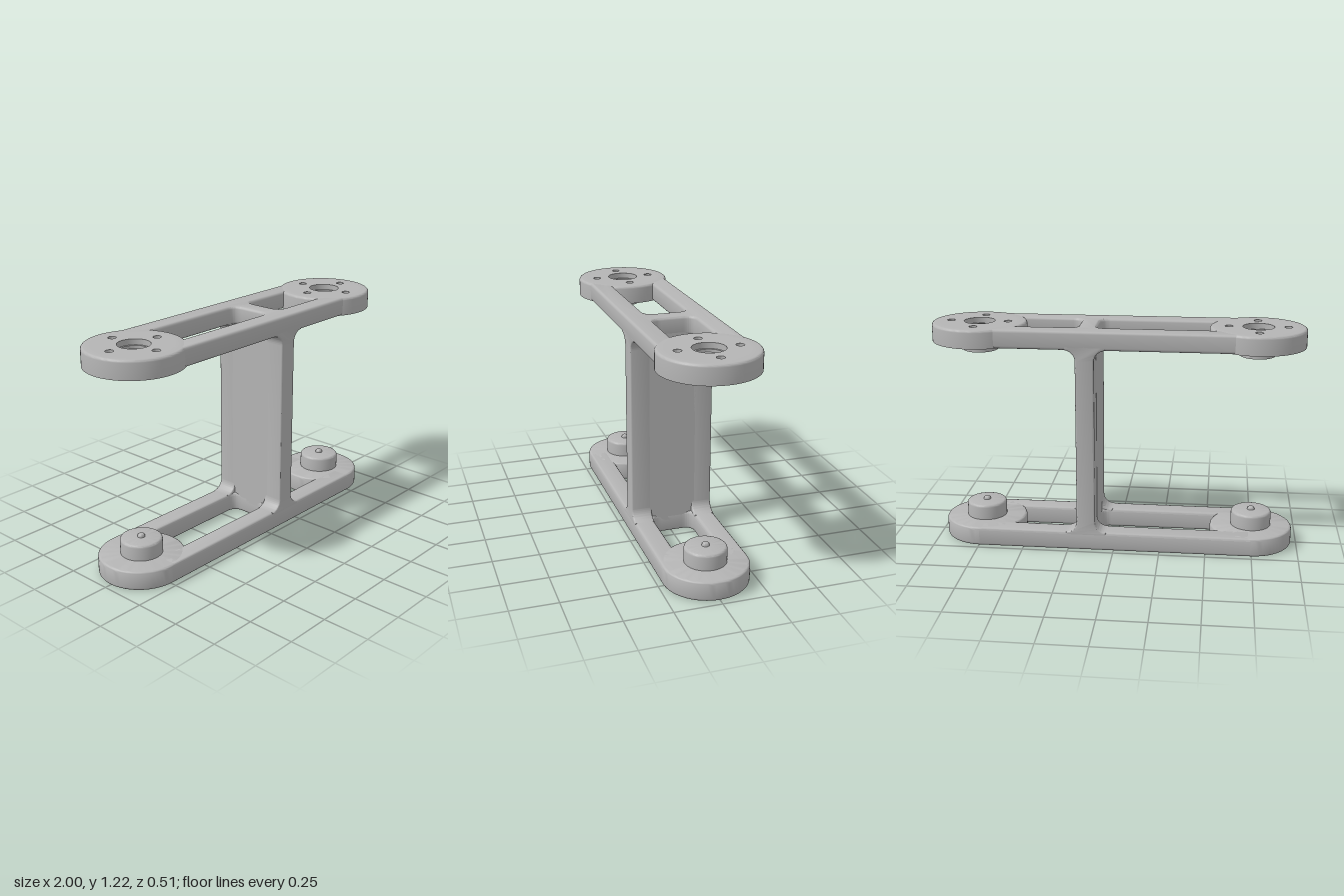
import * as THREE from 'three';
import { toCreasedNormals } from 'three/addons/utils/BufferGeometryUtils.js';

const HUB_X = 0.745, RAIL_OUT = 0.225, RAIL_IN = 0.115, WALL_L = 0.1, WALL_R = 0.2;

export function createModel() {
  const model = new THREE.Group();
  const grey = new THREE.MeshStandardMaterial({ color: 0xb4b4b4 });
  grey.name = 'satin grey';

  function add(parent, name, geometry, x = 0, y = 0, z = 0) {
    const mesh = new THREE.Mesh(toCreasedNormals(geometry, 0.65), grey);
    mesh.name = name;
    mesh.position.set(x, y, z);
    parent.add(mesh);
    return mesh;
  }

  const lathe = (pts, n = 64) =>
    new THREE.LatheGeometry(pts.map(([r, y]) => new THREE.Vector2(r, y)), n);

  // Plan-view shape extruded upward between two heights
  function slab(shape, y0, y1, bevel = 0) {
    const g = new THREE.ExtrudeGeometry(shape, {
      depth: y1 - y0 - 2 * bevel, curveSegments: 24, bevelEnabled: bevel > 0,
      bevelThickness: bevel, bevelSize: bevel, bevelOffset: -bevel, bevelSegments: 3,
    });
    return g.rotateX(-Math.PI / 2).translate(0, y0 + bevel, 0);
  }

  // Quarter-round from the side of a cylinder onto its top
  const roundTop = (r, y, b) => [0, 1, 2, 3, 4].map(i => {
    const a = i * Math.PI / 8;
    return [r - b + b * Math.cos(a), y - b + b * Math.sin(a)];
  });

  function circle(Type, r, x = 0, y = 0) {
    const p = new Type();
    p.absarc(x, y, r, 0, Math.PI * 2, false);
    return p;
  }

  // Two rails joined by a cross web, ends cut to sit inside the hubs
  function deckShape(endRadius) {
    const s = new THREE.Shape(), c = 0.055;
    const zs = [RAIL_OUT, 0.2, 0.175, 0.145, RAIL_IN];
    const end = (side, list) => list.forEach(z => {
      const dx = endRadius ? Math.sqrt(Math.max(0.01, endRadius ** 2 - z * z)) : 0;
      s.lineTo(side * (HUB_X - dx), z);
    });
    const back = zs.map(z => -z), zsUp = [...zs].reverse(), backDown = [...back].reverse();
    const dx0 = endRadius ? 0.1 : 0;
    s.moveTo(-0.2, -RAIL_OUT);
    s.lineTo(HUB_X - dx0 - 0.02, -RAIL_OUT);
    end(1, back);
    s.lineTo(WALL_R + c, -RAIL_IN);
    s.quadraticCurveTo(WALL_R, -RAIL_IN, WALL_R, -RAIL_IN + c);
    s.lineTo(WALL_R, RAIL_IN - c);
    s.quadraticCurveTo(WALL_R, RAIL_IN, WALL_R + c, RAIL_IN);
    end(1, zsUp);
    end(-1, zs);
    s.lineTo(WALL_L - c, RAIL_IN);
    s.quadraticCurveTo(WALL_L, RAIL_IN, WALL_L, RAIL_IN - c);
    s.lineTo(WALL_L, -RAIL_IN + c);
    s.quadraticCurveTo(WALL_L, -RAIL_IN, WALL_L - c, -RAIL_IN);
    end(-1, backDown);
    s.closePath();
    return s;
  }

  add(model, 'lowerRails', slab(deckShape(0), 0, 0.105, 0.015));
  add(model, 'upperRails', slab(deckShape(0.226), 1.12, 1.22, 0.015));

  // Upright wall, flared into the rails with fillets on both edges
  const f = 0.06, y0 = 0.105, y1 = 1.12, sink = 0.04;
  const flare = new THREE.Shape();
  flare.moveTo(WALL_L - f, y0 - sink);
  flare.lineTo(WALL_R + f, y0 - sink);
  flare.lineTo(WALL_R + f, y0);
  flare.absarc(WALL_R + f, y0 + f, f, -Math.PI / 2, -Math.PI, true);
  flare.absarc(WALL_R + f, y1 - f, f, Math.PI, Math.PI / 2, true);
  flare.lineTo(WALL_R + f, y1 + sink);
  flare.lineTo(WALL_L - f, y1 + sink);
  flare.absarc(WALL_L - f, y1 - f, f, Math.PI / 2, 0, true);
  flare.absarc(WALL_L - f, y0 + f, f, 0, -Math.PI / 2, true);
  const b = 0.008, wallEdge = new THREE.ExtrudeGeometry(flare, {
    depth: RAIL_OUT - RAIL_IN - 2 * b, curveSegments: 10,
    bevelThickness: b, bevelSize: b, bevelOffset: -b, bevelSegments: 3,
  });
  add(model, 'wallFrontEdge', wallEdge, 0, 0, RAIL_IN + b);
  add(model, 'wallBackEdge', wallEdge, 0, 0, -RAIL_OUT + b);
  add(model, 'wall', new THREE.BoxGeometry(WALL_R - WALL_L, 1.08, 0.26),
    (WALL_L + WALL_R) / 2, 0.61, 0);

  // Lower hub: rounded disc with a peg and a small domed pin
  const lowerDisc = lathe([[0, 0], [0.21, 0],
    ...[1, 2, 3, 4].map(i => {
      const a = -Math.PI / 2 + i * Math.PI / 8;
      return [0.21 + 0.015 * Math.cos(a), 0.015 + 0.015 * Math.sin(a)];
    }), ...roundTop(RAIL_OUT, 0.105, 0.015), [0, 0.105]]);
  const peg = lathe([[0.11, 0.09], ...roundTop(0.11, 0.19, 0.015), [0, 0.19]]);
  const pin = lathe([[0.02, 0.18], ...roundTop(0.02, 0.209, 0.018), [0, 0.209]], 24);

  // Upper hub: rounded rim open below, capped by a drilled face
  const rim = lathe([[0.2, 1.15], [0.235, 1.15], [0.235, 1.12], [0.255, 1.12],
    ...roundTop(0.255, 1.22, 0.015), [0.2, 1.22]], 80);
  const face = circle(THREE.Shape, 0.21);
  face.holes.push(circle(THREE.Path, 0.083));

  // Round horn set into the underside, with two rings of small holes
  const horn = circle(THREE.Shape, 0.225);
  horn.holes.push(circle(THREE.Path, 0.025));
  for (let i = 0; i < 12; i++) {
    const a = i * Math.PI / 6, main = i % 3 === 0, r = main ? 0.155 : 0.18;
    const x = r * Math.cos(a), y = r * Math.sin(a);
    horn.holes.push(circle(THREE.Path, 0.014, x, y));
    if (main) face.holes.push(circle(THREE.Path, 0.021, x, y));
  }

  // Boss with a splined socket
  const boss = circle(THREE.Shape, 0.093);
  const teeth = [];
  for (let i = 0; i < 96; i++) {
    const r = i % 4 < 2 ? 0.06 : 0.053, a = i * Math.PI / 48;
    teeth.push(new THREE.Vector2(r * Math.cos(a), r * Math.sin(a)));
  }
  boss.holes.push(new THREE.Path(teeth));

  // Stepped seat inside the upper bore
  const seat = lathe([[0.055, 1.15], [0.085, 1.15], [0.085, 1.19], [0.072, 1.19],
    [0.072, 1.175], [0.055, 1.175], [0.055, 1.15]]);

  for (const [side, x] of [['left', HUB_X], ['right', -HUB_X]]) {
    const lower = new THREE.Group(), upper = new THREE.Group();
    lower.name = side + 'LowerHub';
    upper.name = side + 'UpperHub';
    lower.position.x = upper.position.x = x;
    add(lower, 'hubDisc', lowerDisc);
    add(lower, 'peg', peg);
    add(lower, 'pin', pin);
    add(upper, 'hubRim', rim);
    add(upper, 'hubFace', slab(face, 1.15, 1.22));
    add(upper, 'horn', slab(horn, 1.126, 1.15));
    add(upper, 'splinedBoss', slab(boss, 1.065, 1.13));
    add(upper, 'boreSeat', seat);
    model.add(lower, upper);
  }
  return model;
}
